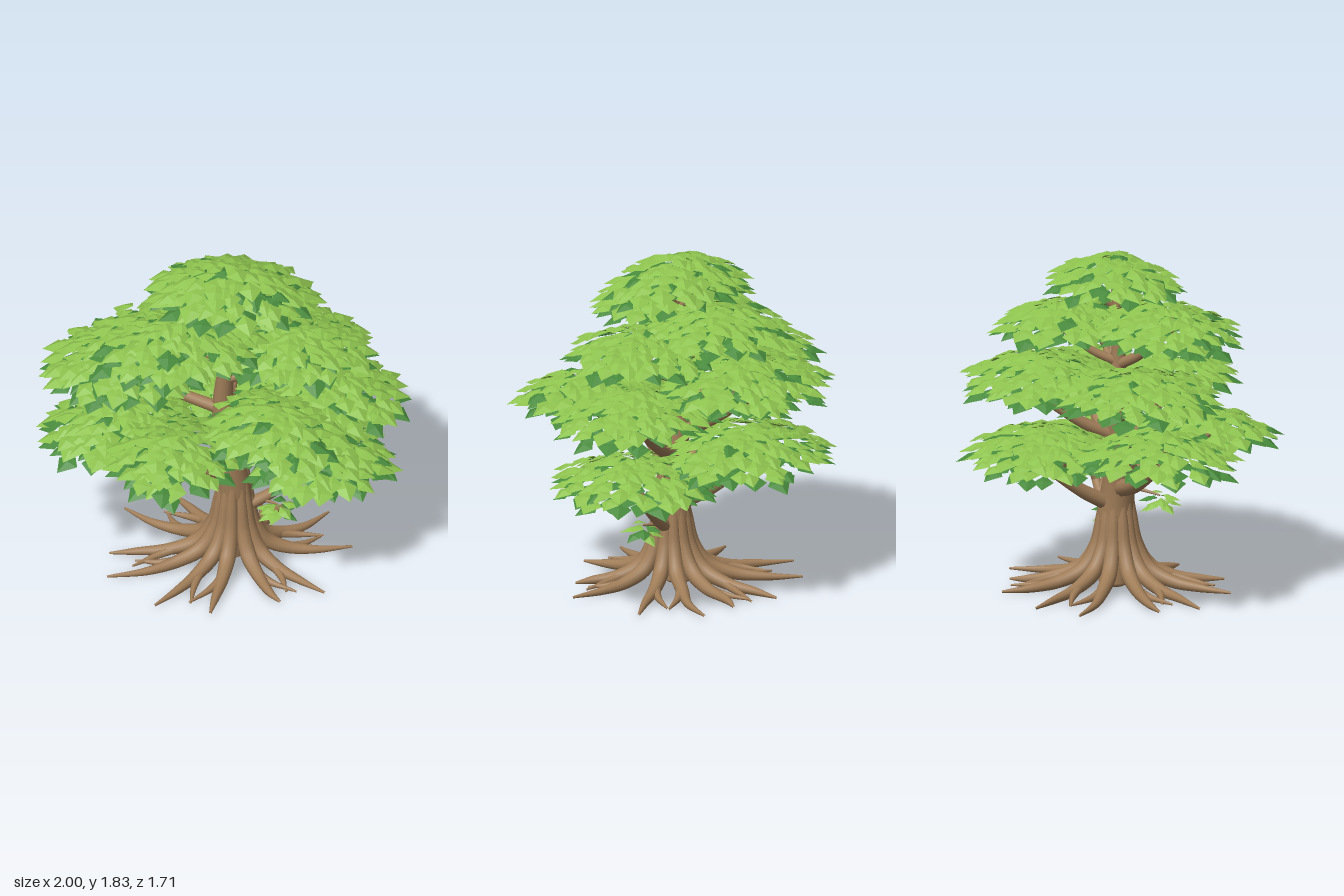
import * as THREE from 'three';

const bark = new THREE.MeshStandardMaterial({ color: 0xa17e59 });
bark.name = 'bark';
const leafLight = new THREE.MeshStandardMaterial({ color: 0x8dc24e, side: THREE.DoubleSide });
leafLight.name = 'light leaf green';
const leafDark = new THREE.MeshStandardMaterial({ color: 0x488a3c, side: THREE.DoubleSide });
leafDark.name = 'dark leaf green';

const V = (x, y, z) => new THREE.Vector3(x, y, z);

function seeded(seed) {
  let s = seed;
  return () => (s = (s * 16807) % 2147483647) / 2147483647;
}

// Smooth round limb through points, with a radius at each point
function limb(name, points, radii, sides = 10) {
  const curve = new THREE.CatmullRomCurve3(points);
  const steps = points.length * 5;
  const geo = new THREE.TubeGeometry(curve, steps, 1, sides);
  const pos = geo.attributes.position;
  const v = new THREE.Vector3();
  for (let i = 0; i <= steps; i++) {
    const c = curve.getPointAt(i / steps);
    const k = curve.getUtoTmapping(i / steps) * (radii.length - 1);
    const a = Math.min(Math.floor(k), radii.length - 2);
    const r = THREE.MathUtils.lerp(radii[a], radii[a + 1], k - a);
    for (let j = 0; j <= sides; j++) {
      const n = i * (sides + 1) + j;
      v.fromBufferAttribute(pos, n).sub(c).multiplyScalar(r).add(c);
      pos.setXYZ(n, v.x, Math.max(v.y, 0), v.z);
    }
  }
  const mesh = new THREE.Mesh(geo, bark);
  mesh.name = name;
  return mesh;
}

// One broad, pointed leaf folded along its midrib
function addLeaf(out, p, azimuth, droop, length, width) {
  const ca = Math.cos(azimuth), sa = Math.sin(azimuth);
  const f = V(ca * Math.cos(droop), -Math.sin(droop), sa * Math.cos(droop));
  const s = V(-sa, 0, ca);
  const u = s.clone().cross(f);
  const at = (a, b, c) => p.clone().addScaledVector(f, a * length).addScaledVector(s, b * width).addScaledVector(u, c * length);
  const B = at(0, 0, 0), R = at(0.4, 0.5, -0.08), L = at(0.4, -0.5, -0.08), M = at(0.45, 0, 0.06), T = at(1, 0, -0.06);
  for (const q of [B, R, M, R, T, M, B, M, L, M, T, L]) out.push(q.x, q.y, q.z);
}

function leafMesh(name, positions, material) {
  const geo = new THREE.BufferGeometry();
  geo.setAttribute('position', new THREE.Float32BufferAttribute(positions, 3));
  geo.computeVertexNormals();
  const mesh = new THREE.Mesh(geo, material);
  mesh.name = name;
  return mesh;
}

// Domed pad of shingled leaves, light above and dark beneath; it sinks most away from the trunk
function foliagePad(name, [x, y, z], rx, rz, drop, seed) {
  const rand = seeded(seed);
  const group = new THREE.Group();
  group.name = name;
  const outward = Math.atan2(z, x);
  const lean = Math.hypot(x, z) > 0.1 ? 0.25 : 0;
  const light = [], dark = [];
  // Each layer: leaves per area, depth below the top, share of dark leaves
  for (const [density, below, darkShare] of [[820, 0, 0.02], [560, 0.035, 0.97]]) {
    const count = Math.round(density * rx * rz) + 8;
    for (let i = 0; i < count; i++) {
      const rho = Math.sqrt((i + 0.5) / count);
      const a = i * 2.39996 + (rand() - 0.5) * 0.3;
      const heading = a + (rand() - 0.5) * (1.8 - 0.9 * rho);
      const length = 0.12 + rand() * 0.035;
      const back = 0.55 * (1 - rho) * length;
      const sink = drop * (1 - lean + lean * Math.cos(a - outward)) * Math.pow(rho, 1.9);
      const p = V(
        x + Math.cos(a) * rho * rx - Math.cos(heading) * back,
        y - below - sink + (rand() - 0.5) * 0.025,
        z + Math.sin(a) * rho * rz - Math.sin(heading) * back
      );
      const droop = 0.1 + 0.26 * rho + (rand() - 0.5) * 0.14;
      addLeaf(rand() < darkShare ? dark : light, p, heading, droop, length, length * (0.82 + rand() * 0.12));
    }
  }
  group.add(leafMesh('lightLeaves', light, leafLight), leafMesh('darkLeaves', dark, leafDark));
  return group;
}

export function createModel() {
  const tree = new THREE.Group();
  tree.name = 'tree';

  // Trunk with a gentle S bend
  const spine = [
    V(0.03, 0.03, 0.01), V(0.035, 0.2, 0.02), V(0.055, 0.4, 0.03), V(0.035, 0.6, 0.04), V(0.01, 0.78, 0.03),
    V(-0.005, 0.97, 0.02), V(0.01, 1.2, 0.03), V(0.02, 1.45, 0.03), V(0.02, 1.74, 0.01),
  ];
  tree.add(limb('trunk', spine, [0.08, 0.105, 0.1, 0.083, 0.067, 0.056, 0.042, 0.03, 0.014], 16));
  const base = new THREE.Mesh(new THREE.SphereGeometry(0.082, 16, 8), bark);
  base.name = 'trunkBase';
  base.scale.y = 0.4;
  base.position.set(0.03, 0.035, 0.01);
  tree.add(base);

  // Buttress roots that flute the trunk, spread out and fork
  const rand = seeded(71);
  const roots = new THREE.Group();
  roots.name = 'roots';
  const rootCount = 12;
  for (let i = 0; i < rootCount; i++) {
    const a = (i / rootCount) * Math.PI * 2 + (rand() - 0.5) * 0.16;
    const reach = 0.6 + 0.08 * Math.abs(Math.cos(a)) - (i % 4 === 2 ? 0.07 : 0);
    const bend = (rand() - 0.5) * 0.26;
    const at = (r, y, turn) => V(0.062 * (1 - r / reach) + Math.cos(a + turn) * r, y, 0.04 * (1 - r / reach) + Math.sin(a + turn) * r);
    const top = 0.56 + rand() * 0.12;
    roots.add(limb('root', [
      at(0.045, top, 0), at(0.078, 0.38, 0), at(0.108, 0.22, 0), at(0.18, 0.105, 0), at(0.31, 0.045, bend * 0.3),
      at(0.47, 0.022, bend * 0.2), at(reach, 0.012, bend),
    ], [0.02, 0.033, 0.04, 0.043, 0.034, 0.022, 0.006]));
    const side = i % 2 ? 1 : -1;
    roots.add(limb('rootFork', [
      at(0.27, 0.055, bend * 0.2), at(0.37, 0.03, bend * 0.3 + side * 0.1), at(0.49 + rand() * 0.06, 0.012, bend * 0.5 + side * 0.25),
    ], [0.026, 0.021, 0.005], 8));
  }
  tree.add(roots);

  // Boughs: name, start, end, thickness, pad centre, pad radii, pad drop
  const boughs = [
    ['lowerLeft', [0.02, 0.54, 0.04], [-0.6, 0.8, 0.06], 0.05, [-0.55, 0.98, 0.07], 0.34, 0.33, 0.14],
    ['lowerFront', [0.03, 0.62, 0.05], [-0.25, 0.89, 0.47], 0.04, [-0.25, 1.02, 0.43], 0.28, 0.3, 0.13],
    ['lowerRight', [0.09, 0.31, 0.03], [0.54, 0.66, 0.02], 0.036, [0.48, 0.81, 0.04], 0.34, 0.37, 0.13],
    ['lowerBack', [0.05, 0.44, 0.02], [0.0, 0.77, -0.47], 0.045, [0.0, 0.91, -0.4], 0.46, 0.32, 0.14],
    ['middleRight', [0.02, 0.7, 0.03], [0.57, 1.03, 0.0], 0.042, [0.53, 1.19, 0.02], 0.36, 0.34, 0.13],
    ['middleFront', [0.02, 0.76, 0.04], [0.33, 1.04, 0.48], 0.038, [0.31, 1.19, 0.41], 0.29, 0.31, 0.12],
    ['middleLeft', [-0.01, 0.93, 0.02], [-0.64, 1.18, -0.1], 0.036, [-0.51, 1.3, -0.04], 0.38, 0.36, 0.12],
    ['middleBack', [0.0, 0.83, 0.02], [0.06, 1.12, -0.46], 0.038, [0.03, 1.3, -0.39], 0.46, 0.33, 0.13],
    ['upperLeft', [0.01, 1.22, 0.03], [-0.36, 1.5, 0.22], 0.03, [-0.25, 1.59, 0.19], 0.38, 0.33, 0.12],
    ['upperRight', [0.01, 1.13, 0.03], [0.43, 1.36, 0.06], 0.03, [0.37, 1.49, 0.05], 0.35, 0.32, 0.11],
    ['upperBack', [0.01, 1.24, 0.02], [0.12, 1.46, -0.3], 0.026, [0.06, 1.58, -0.24], 0.35, 0.3, 0.12],
  ];
  boughs.forEach(([name, start, end, thick, centre, rx, rz, drop], n) => {
    const s = V(...start), e = V(...end), c = V(...centre);
    const bough = new THREE.Group();
    bough.name = name + 'Bough';
    const along = (t, sag) => s.clone().lerp(e, t).add(V(0, -sag, 0));
    bough.add(limb('branch', [s, along(0.35, 0.025), along(0.7, 0.02), e, e.clone().lerp(c, 0.2).add(V(0, 0.03, 0))],
      [thick, thick * 0.85, thick * 0.6, thick * 0.35, 0.006]));
    // Twigs fork off to either side and rise into the leaves
    const across = V(-(e.z - s.z), 0, e.x - s.x).normalize();
    [[0.48, 0.17], [0.6, -0.19], [0.8, 0.12]].forEach(([t, out]) => {
      const p = along(t, 0.02);
      const tip = p.clone().addScaledVector(across, out).lerp(c, 0.3);
      tip.y = c.y - drop * 0.6;
      bough.add(limb('twig', [p, p.clone().lerp(tip, 0.5), tip], [thick * 0.5, thick * 0.36, 0.006], 7));
    });
    bough.add(foliagePad('foliage', centre, rx, rz, drop, 101 + n * 37));
    tree.add(bough);
  });

  // Crown
  const crown = new THREE.Group();
  crown.name = 'crown';
  for (const [x, z] of [[0.2, 0.06], [-0.17, 0.1], [0.03, -0.19]]) {
    crown.add(limb('twig', [V(0.02, 1.52, 0.02), V(x * 0.55, 1.63, z * 0.55), V(x, 1.73, z)], [0.018, 0.013, 0.006], 7));
  }
  crown.add(foliagePad('foliage', [0.03, 1.82, 0.01], 0.37, 0.27, 0.13, 911));
  tree.add(crown);

  // Small sprouts on the lowest boughs
  const sprouts = [
    ['rightSprout', V(0.2, 0.37, 0.03), V(0.29, 0.38, 0.09)],
    ['leftSprout', V(-0.22, 0.6, 0.05), V(-0.3, 0.57, 0.16)],
  ];
  for (const [name, from, to] of sprouts) {
    const sprout = new THREE.Group();
    sprout.name = name;
    sprout.add(limb('twig', [from, from.clone().lerp(to, 0.5), to], [0.012, 0.009, 0.005], 6));
    const light = [], dark = [];
    for (let i = 0; i < 11; i++) {
      const a = i * 2.39996;
      const p = to.clone().add(V(Math.cos(a) * 0.02, 0.01 - 0.005 * i, Math.sin(a) * 0.02));
      addLeaf(i % 3 === 2 ? dark : light, p, a, 0.1 + 0.04 * i, 0.105, 0.08);
    }
    sprout.add(leafMesh('lightLeaves', light, leafLight), leafMesh('darkLeaves', dark, leafDark));
    tree.add(sprout);
  }
  return tree;
}
